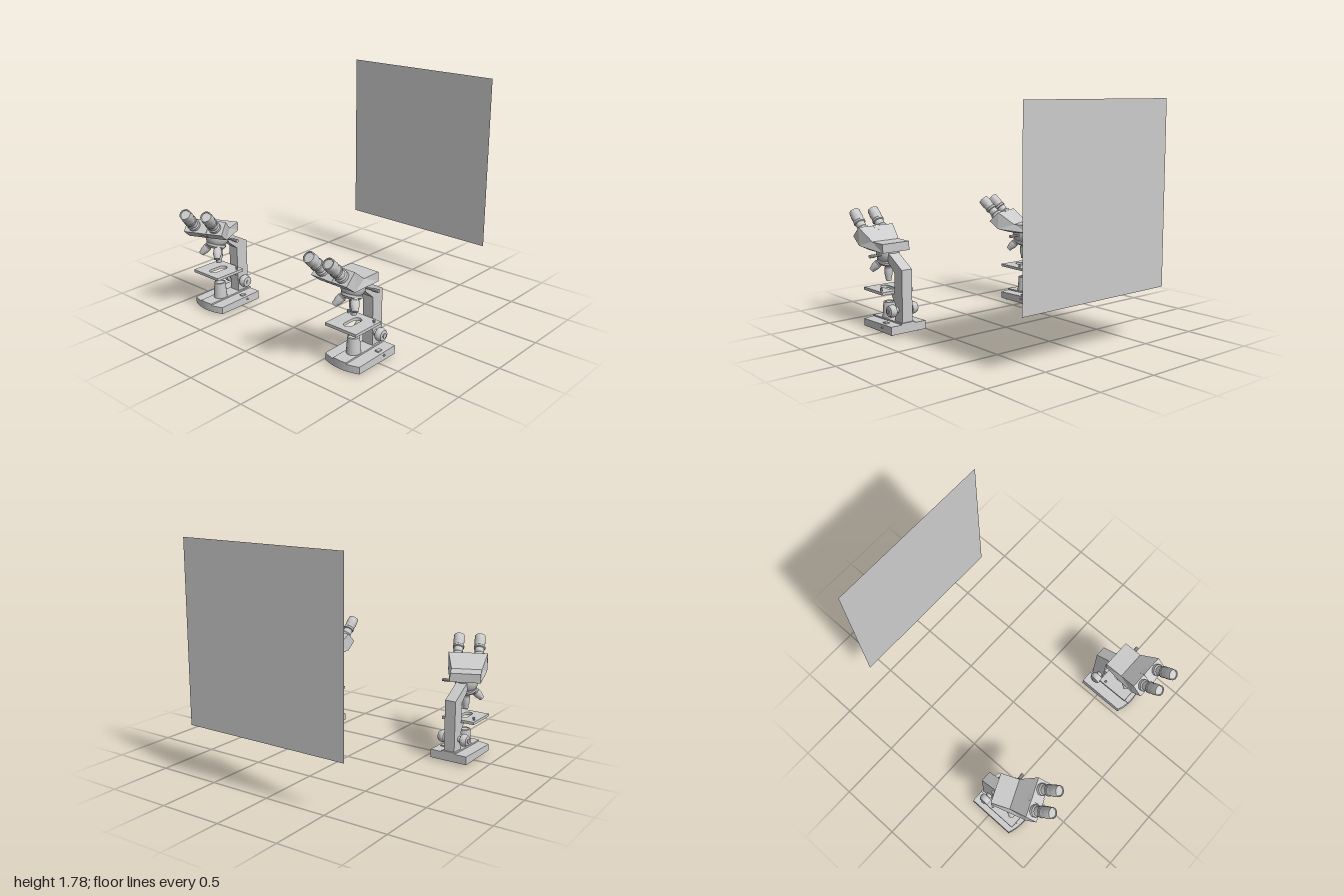
import * as THREE from 'three';
import { toCreasedNormals } from 'three/addons/utils/BufferGeometryUtils.js';

const grey = new THREE.MeshStandardMaterial({ color: 0xcccccc });
const greySheet = new THREE.MeshStandardMaterial({ color: 0xcccccc, side: THREE.DoubleSide });
const UP = new THREE.Vector3(0, 1, 0);

function add(parent, name, geometry, x = 0, y = 0, z = 0) {
  const mesh = new THREE.Mesh(geometry, grey);
  mesh.name = name;
  mesh.position.set(x, y, z);
  parent.add(mesh);
  return mesh;
}

// Turned part: profile of [radius, distance] pairs, standing at "from" and pointing along "dir"
function turned(parent, name, profile, from, dir = [0, 1, 0], sides = 16) {
  const lathe = new THREE.LatheGeometry(profile.map(p => new THREE.Vector2(...p)), sides);
  const mesh = add(parent, name, toCreasedNormals(lathe, 0.6), ...from);
  mesh.quaternion.setFromUnitVectors(UP, new THREE.Vector3(...dir).normalize());
  return mesh;
}

// Side outline of [z, y] pairs extruded across x
function sideExtrude(outline, width) {
  const shape = new THREE.Shape(outline.map(p => new THREE.Vector2(...p)));
  return new THREE.ExtrudeGeometry(shape, { depth: width, bevelEnabled: false })
    .rotateY(-Math.PI / 2).translate(width / 2, 0, 0);
}

// Foot plate with a bowed front, its top sloping down towards the front
function basePlate(halfWidth, bottom, top) {
  const shape = new THREE.Shape();
  shape.moveTo(halfWidth, -0.335);
  shape.lineTo(-halfWidth, -0.335);
  for (let i = 0; i <= 8; i++) {
    const x = halfWidth * (i / 4 - 1);
    shape.lineTo(x, -(0.757 - 1.3 * x * x));
  }
  const geo = new THREE.ExtrudeGeometry(shape, { depth: top - bottom, bevelEnabled: false })
    .rotateX(-Math.PI / 2).translate(0, bottom, 0);
  const p = geo.attributes.position;
  for (let i = 0; i < p.count; i++) {
    if (p.getY(i) > top - 0.001) p.setY(i, top - 0.03 * (p.getZ(i) - 0.335));
  }
  geo.computeVertexNormals();
  return geo;
}

function makeHead(turn) {
  const head = new THREE.Group();
  head.name = 'binocularHead';
  const pivotZ = 0.6;

  // Housing: the side outline flares from a narrow rear to a wide front
  const housing = sideExtrude([
    [0.49, 0.615], [0.68, 0.615], [0.778, 0.64], [0.862, 0.705],
    [0.778, 0.785], [0.64, 0.685], [0.49, 0.685],
  ], 2);
  const p = housing.attributes.position;
  for (let i = 0; i < p.count; i++) {
    const flare = THREE.MathUtils.smoothstep(p.getZ(i), 0.68, 0.778);
    p.setX(i, p.getX(i) * (0.12 + 0.036 * flare));
  }
  housing.computeVertexNormals();
  add(head, 'headHousing', housing, 0, 0, -pivotZ);

  // Bridge strip between the eyepieces
  add(head, 'bridgeStrip', sideExtrude([
    [0.83, 0.672], [0.866, 0.706], [0.779, 0.789], [0.74, 0.758], [0.775, 0.7],
  ], 0.056), 0, 0, -pivotZ);

  for (const side of [-1, 1]) {
    turned(head, 'eyepiece', [
      [0, -0.01], [0.047, -0.01], [0.047, 0.025], [0.038, 0.035], [0.038, 0.075],
      [0.047, 0.08], [0.047, 0.095], [0.043, 0.1], [0.043, 0.13], [0.046, 0.135],
      [0.043, 0.198], [0.036, 0.198], [0.034, 0.192], [0, 0.192],
    ], [side * 0.085, 0.743, 0.82 - pivotZ], [0, 1, 1], 14);
  }
  head.position.z = pivotZ;
  head.rotation.y = turn;
  return head;
}

function makeNosepiece() {
  const nose = new THREE.Group();
  nose.name = 'nosepiece';
  turned(nose, 'noseDome', [
    [0, -0.1], [0.04, -0.095], [0.07, -0.075], [0.085, -0.05], [0.092, -0.02], [0.092, 0.01], [0, 0.01],
  ], [0, 0.61, 0.61], [0, 1, 0], 24);

  // Tilted turret
  turned(nose, 'turret', [
    [0, -0.02], [0.06, -0.02], [0.077, -0.008], [0.077, 0.01], [0.06, 0.028], [0, 0.035],
  ], [0, 0.53, 0.625], [0, -1, 0.33], 24);

  // Three objectives fanned around the turret
  const barrel = [[0, 0], [0.027, 0], [0.027, 0.03], [0.032, 0.033], [0.032, 0.07], [0.025, 0.09], [0.022, 0.11], [0, 0.11]];
  const longBarrel = barrel.map(([r, d]) => [r, d * 1.35]);
  turned(nose, 'longObjective', longBarrel, [0, 0.52, 0.605], [0, -1, 0]);
  for (const side of [-1, 1]) {
    turned(nose, 'sideObjective', barrel, [side * 0.04, 0.53, 0.645], [side * 0.5, -0.75, 0.53]);
  }

  turned(nose, 'lockPin', [[0, 0], [0.009, 0], [0.009, 0.07], [0.013, 0.075], [0.013, 0.125], [0, 0.125]],
    [0.065, 0.588, 0.58], [1, 0, -0.1], 10);
  return nose;
}

function makeStage() {
  const stage = new THREE.Group();
  stage.name = 'stage';
  const plate = new THREE.Shape();
  plate.moveTo(-0.139, -0.745);
  plate.lineTo(0.139, -0.745);
  plate.lineTo(0.139, -0.478);
  plate.lineTo(-0.139, -0.478);
  plate.closePath();
  // Light slot with round ends
  const slot = new THREE.Path();
  slot.absarc(0, -0.57, 0.035, 0, Math.PI);
  slot.absarc(0, -0.66, 0.035, Math.PI, Math.PI * 2);
  slot.closePath();
  plate.holes.push(slot);
  add(stage, 'stagePlate', new THREE.ExtrudeGeometry(plate, { depth: 0.022, bevelEnabled: false, curveSegments: 10 })
    .rotateX(-Math.PI / 2), 0, 0.293, 0);
  add(stage, 'stageBracket', sideExtrude([[0.44, 0.22], [0.465, 0.225], [0.515, 0.295], [0.44, 0.295]], 0.08));
  for (const side of [-1, 1]) {
    turned(stage, 'clipPost', [[0.007, 0], [0.007, 0.012], [0.01, 0.014], [0.01, 0.03], [0, 0.03]],
      [side * 0.117, 0.312, 0.525], [0, 1, 0], 10);
  }
  return stage;
}

function makeMicroscope(headTurn) {
  const scope = new THREE.Group();
  scope.name = 'microscope';

  // Base with raised centre strip, feet and controls
  add(scope, 'base', basePlate(0.156, 0.013, 0.079));
  add(scope, 'baseCentreStrip', basePlate(0.058, 0.02, 0.09));
  for (const x of [-0.115, 0.115]) {
    for (const z of [0.385, 0.685]) {
      add(scope, 'foot', new THREE.CylinderGeometry(0.02, 0.017, 0.016, 12), x, 0.008, z);
    }
  }
  add(scope, 'switch', new THREE.BoxGeometry(0.03, 0.016, 0.04), 0.115, 0.076, 0.47);
  turned(scope, 'dimmer', [[0.008, 0], [0.008, 0.012], [0, 0.012]], [0.154, 0.052, 0.46], [1, 0, 0], 10);

  // Arm leaning forward at the top
  add(scope, 'arm', sideExtrude([
    [0.348, 0.06], [0.452, 0.06], [0.452, 0.46], [0.535, 0.53],
    [0.56, 0.61], [0.525, 0.6], [0.348, 0.497],
  ], 0.09));

  // Focus knobs on both sides
  for (const side of [-1, 1]) {
    turned(scope, 'focusKnob', [
      [0.024, 0], [0.024, 0.025], [0.045, 0.03], [0.05, 0.04], [0.05, 0.055],
      [0.04, 0.08], [0.018, 0.083], [0.018, 0.09], [0, 0.09],
    ], [side * 0.042, 0.177, 0.42], [side, 0, 0], 12);
  }

  // Lamp housing under the stage
  turned(scope, 'lamp', [
    [0.054, 0], [0.054, 0.015], [0.049, 0.06], [0.045, 0.133], [0.037, 0.138], [0.035, 0.13], [0, 0.13],
  ], [0, 0.07, 0.605], [0, 1, 0], 20);

  scope.add(makeStage(), makeNosepiece(), makeHead(headTurn));
  return scope;
}

export function createModel() {
  const model = new THREE.Group();
  model.name = 'microscopesAndPanel';

  const straight = makeMicroscope(0);
  straight.position.x = 0.686;
  const turnedScope = makeMicroscope(0.41);
  turnedScope.position.x = -0.716;
  model.add(straight, turnedScope);

  // Thin upright panel at the back
  const panel = add(model, 'backPanel', new THREE.PlaneGeometry(1.37, 1.38), 0.02, 1.095, -1);
  panel.material = greySheet;
  return model;
}
